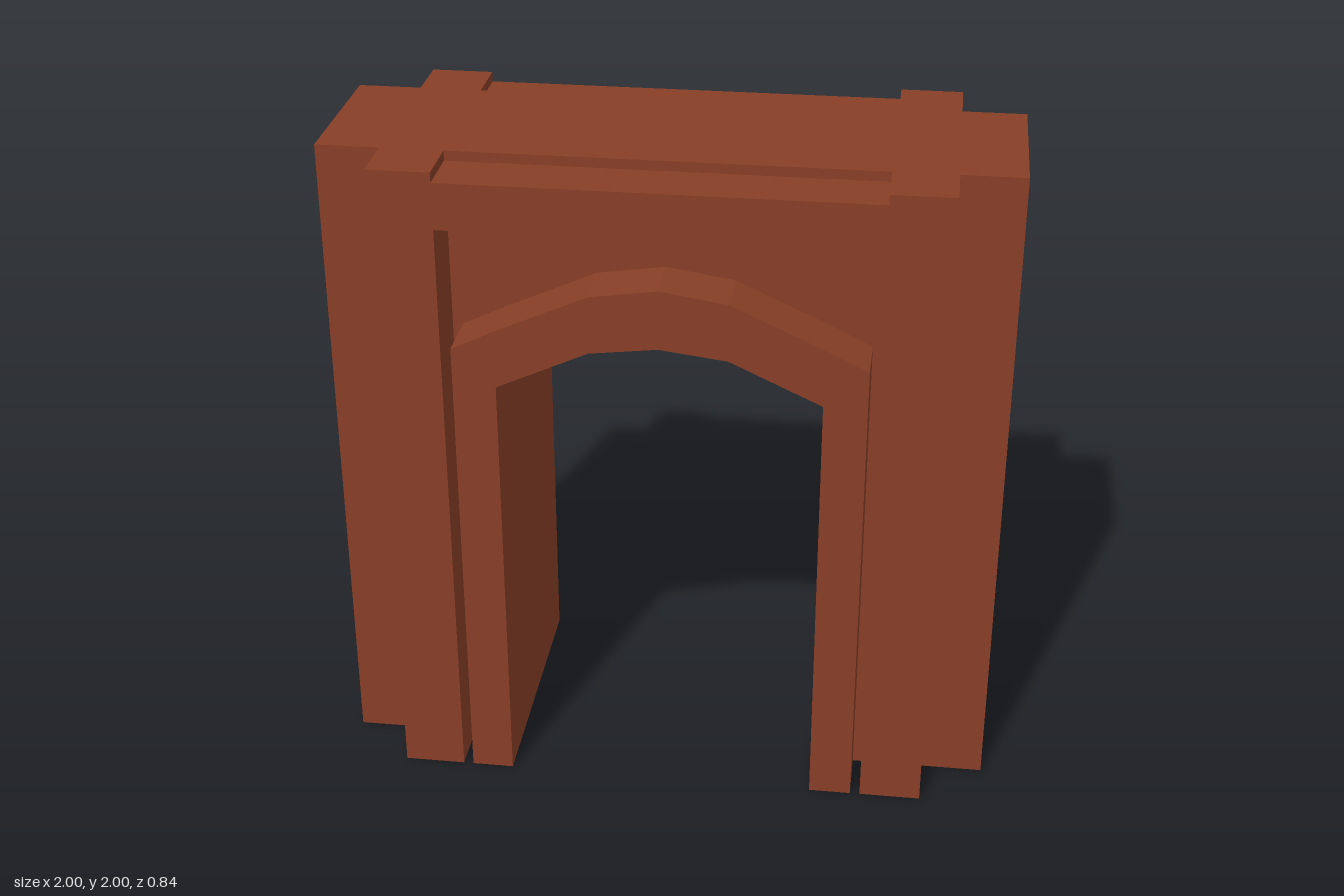
import * as THREE from 'three';

const CORE = 0.253;  // half depth of the wall
const FACE = 0.422;  // half depth of the raised trim

// Closed outline mirrored about x = 0, from its right-hand points
function mirroredShape(right) {
  const left = right.filter(([x]) => x > 0).map(([x, y]) => [-x, y]).reverse();
  return new THREE.Shape([...right, ...left].map(([x, y]) => new THREE.Vector2(x, y)));
}

export function createModel() {
  const group = new THREE.Group();
  const material = new THREE.MeshStandardMaterial({ color: 0x883f27, flatShading: true });

  function slab(name, right, z0, z1) {
    const geometry = new THREE.ExtrudeGeometry(mirroredShape(right), { depth: z1 - z0, bevelEnabled: false });
    geometry.translate(0, 0, z0);
    const mesh = new THREE.Mesh(geometry, material);
    mesh.name = name;
    group.add(mesh);
  }

  // Edge of the opening, from the ground up to the crown
  const opening = [[0.47, 0], [0.47, 1.35], [0.2, 1.475], [0, 1.5]];

  // Wall with the arched passage
  const wall = [[0, 1.5], [0.2, 1.475], [0.47, 1.35], [0.47, 0], [1, 0], [1, 2]];
  slab('wall', wall, -CORE, CORE);

  // Arch surround: outer edge down to the ground, then back up the opening
  const surround = [[0, 1.68], [0.2, 1.65], [0.47, 1.527], [0.597, 1.465], [0.597, 0], ...opening];
  // The crown points lie on the axis, so each side is one half of the surround
  function archBand(name, z0, z1) {
    const band = new THREE.Group();
    band.name = name;
    const outer = surround.slice(0, 5);
    const loop = [
      ...outer, ...opening,
      ...opening.slice(0, 3).reverse().map(([x, y]) => [-x, y]),
      ...outer.slice(1).reverse().map(([x, y]) => [-x, y]),
    ];
    const shape = new THREE.Shape(loop.map(([x, y]) => new THREE.Vector2(x, y)));
    const geometry = new THREE.ExtrudeGeometry(shape, { depth: z1 - z0, bevelEnabled: false });
    geometry.translate(0, 0, z0);
    band.add(new THREE.Mesh(geometry, material));
    group.add(band);
  }
  archBand('frontArch', CORE, FACE);
  archBand('backArch', -FACE, -CORE);

  // Pilasters joined by a lintel set slightly below their tops
  const frame = [[0.627, 1.83], [0.627, 0], [0.812, 0], [0.812, 2], [0.627, 2], [0.627, 1.97]];
  slab('frontFrame', frame, CORE, FACE);
  slab('backFrame', frame, -FACE, -CORE);

  return group;
}
